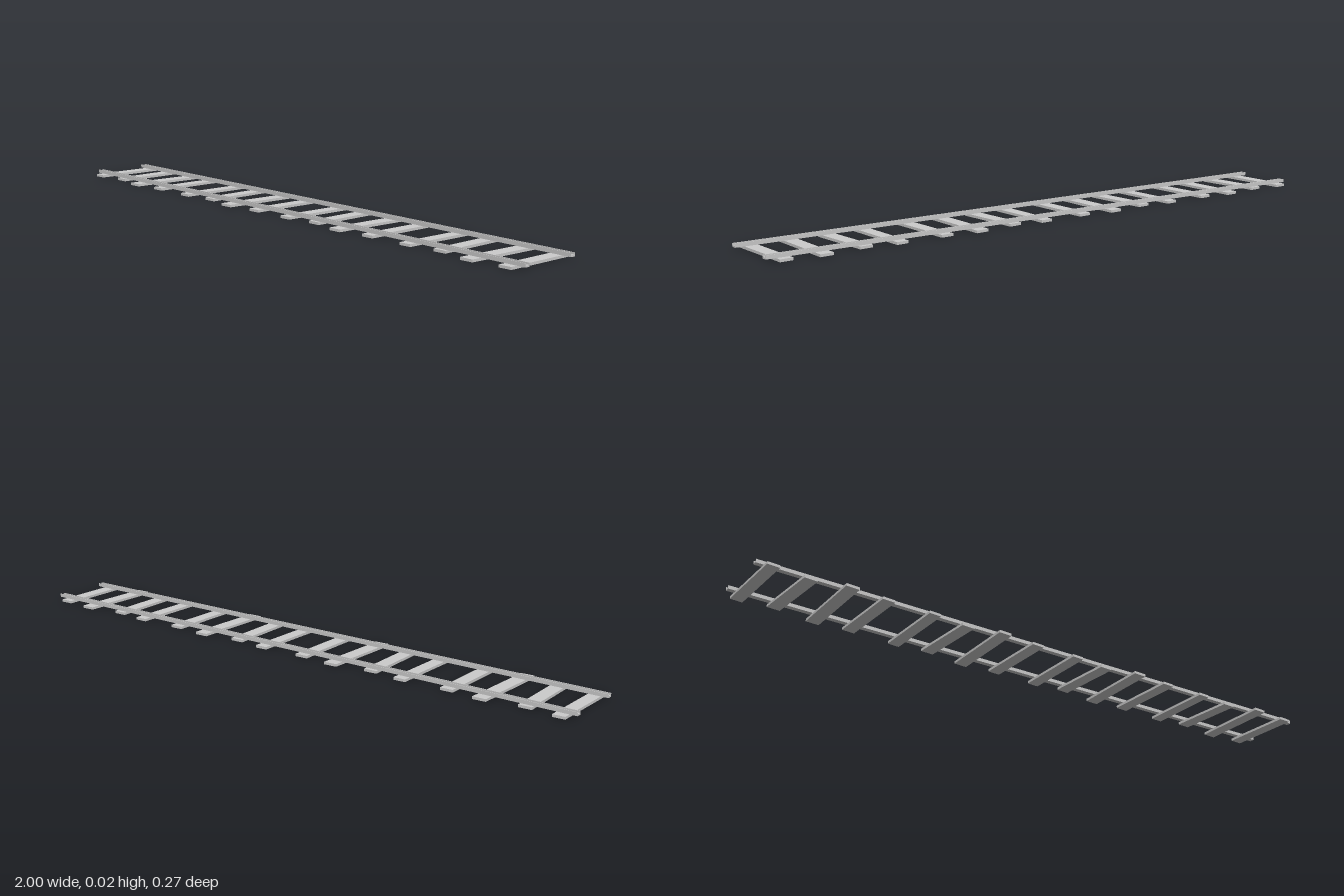
import * as THREE from 'three';

const material = new THREE.MeshStandardMaterial({ color: 0xcccccc, flatShading: true });

// Sleeper plank: slightly skewed outline in plan, extruded upwards.
// back/front are the z of the ends, skew is how far each end shifts in x.
function sleeperGeometry({ back, front, skewBack, skewFront, width }) {
  const w = width / 2;
  const shape = new THREE.Shape([
    new THREE.Vector2(skewFront - w, -front),
    new THREE.Vector2(skewFront + w, -front + 0.002),
    new THREE.Vector2(skewBack + w, -back),
    new THREE.Vector2(skewBack - w, -back - 0.002),
  ]);
  const geometry = new THREE.ExtrudeGeometry(shape, { depth: 0.008, bevelEnabled: false });
  return geometry.rotateX(-Math.PI / 2);
}

// Rail: channel section, open at the top, running along x.
function railGeometry() {
  const w = 0.008, lip = 0.0016, web = 0.005, h = 0.011;
  const shape = new THREE.Shape([
    [-w, 0], [w, 0], [w, h], [w - lip, h], [w - lip, web],
    [lip - w, web], [lip - w, h], [-w, h],
  ].map(([x, y]) => new THREE.Vector2(x, y)));
  const geometry = new THREE.ExtrudeGeometry(shape, { depth: 2, bevelEnabled: false });
  return geometry.translate(0, 0, -1).rotateY(Math.PI / 2);
}

export function createModel() {
  const model = new THREE.Group();
  model.name = 'railwayTrack';

  // Four sleeper variants repeat in every track section
  const variants = [
    { back: -0.128, front: 0.123, skewBack: 0, skewFront: 0, width: 0.039 },
    { back: -0.115, front: 0.111, skewBack: -0.006, skewFront: 0.004, width: 0.042 },
    { back: -0.134, front: 0.134, skewBack: 0.003, skewFront: -0.003, width: 0.043 },
    { back: -0.123, front: 0.123, skewBack: -0.001, skewFront: 0.002, width: 0.041 },
  ].map(sleeperGeometry);
  const sections = [
    [-0.957, -0.842, -0.717, -0.6],
    [-0.444, -0.327, -0.203, -0.081],
    [0.072, 0.187, 0.312, 0.433],
    [0.587, 0.703, 0.829, 0.949],
  ];
  sections.forEach((positions, s) => {
    const section = new THREE.Group();
    section.name = `sleeperSection${s + 1}`;
    positions.forEach((x, i) => {
      const sleeper = new THREE.Mesh(variants[i], material);
      sleeper.name = `sleeper${s * 4 + i + 1}`;
      sleeper.position.x = x;
      section.add(sleeper);
    });
    model.add(section);
  });

  // Two rails resting on the sleepers
  const rail = railGeometry();
  for (const [name, z] of [['frontRail', 0.091], ['backRail', -0.094]]) {
    const mesh = new THREE.Mesh(rail, material);
    mesh.name = name;
    mesh.position.set(0, 0.008, z);
    model.add(mesh);
  }
  return model;
}
